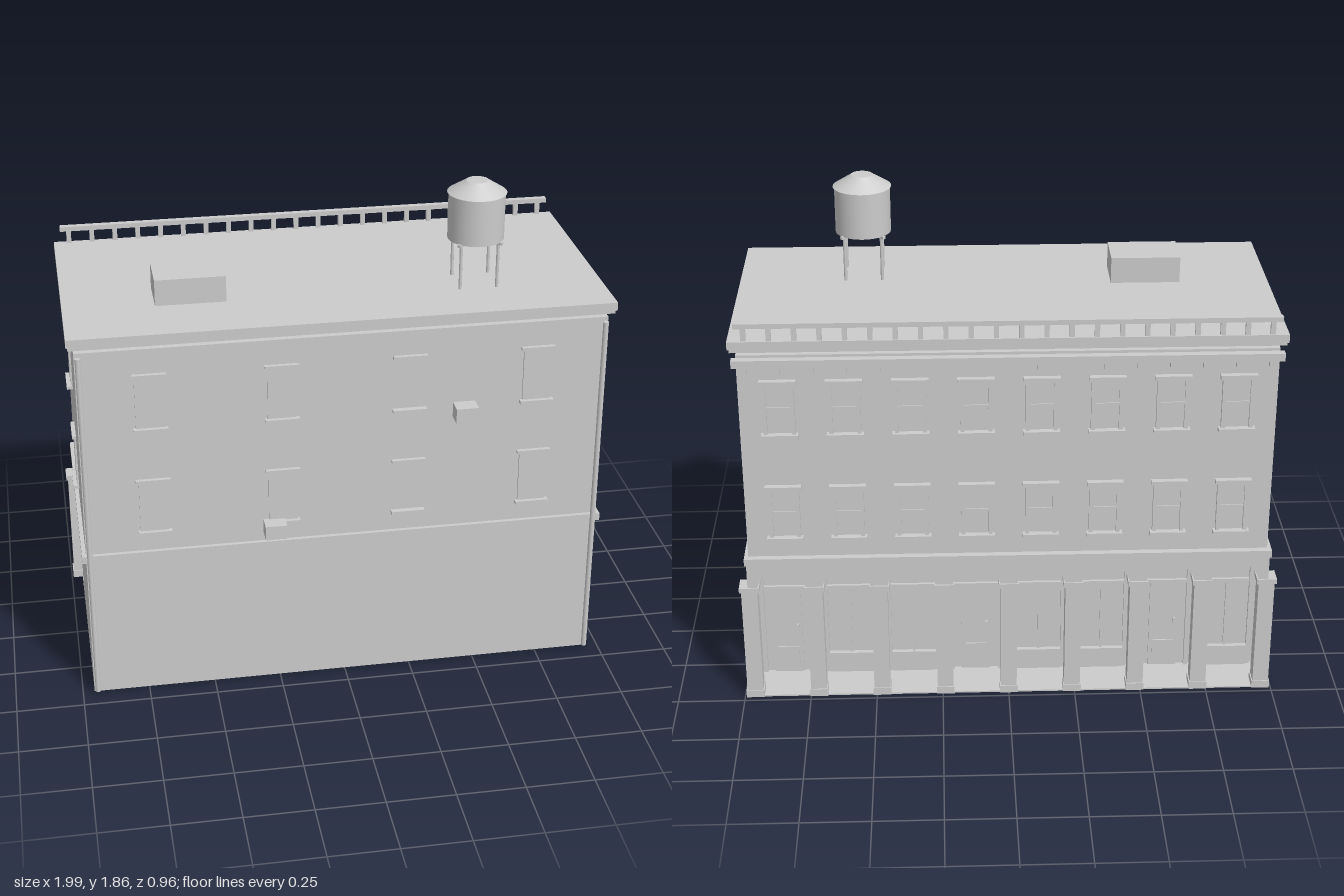
import * as THREE from 'three';

const stone = new THREE.MeshStandardMaterial({ color: 0xcccccc });
stone.name = 'grey stone';

function add(parent, name, geo) {
  const m = new THREE.Mesh(geo, stone);
  m.name = name;
  parent.add(m);
  return m;
}

// Box given by its minimum and maximum on each axis
function box(parent, name, x0, x1, y0, y1, z0, z1) {
  const m = add(parent, name, new THREE.BoxGeometry(x1 - x0, y1 - y0, z1 - z0));
  m.position.set((x0 + x1) / 2, (y0 + y1) / 2, (z0 + z1) / 2);
  return m;
}

function group(parent, name) {
  const g = new THREE.Group();
  g.name = name;
  parent.add(g);
  return g;
}

// Plain window: lintel, sill and a thin plate; local +z points out of the wall
function plainWindow(parent, x, y, z, turn, plate = true) {
  const g = group(parent, 'plainWindow');
  box(g, 'lintel', -0.062, 0.062, 0.205, 0.217, -0.005, 0.015);
  box(g, 'sill', -0.062, 0.062, -0.005, 0.007, -0.005, 0.022);
  if (plate) box(g, 'shutter', -0.052, 0.052, 0.007, 0.205, -0.002, 0.007);
  g.position.set(x, y, z);
  g.rotation.y = turn;
}

// Street window: frame bars, two sashes, lintel and sill
function sashWindow(parent, x, y, z) {
  const g = group(parent, 'sashWindow');
  box(g, 'lintel', -0.066, 0.066, 0.2, 0.217, -0.005, 0.022);
  box(g, 'sill', -0.066, 0.066, -0.006, 0.009, -0.005, 0.027);
  for (const s of [-1, 1]) {
    const jamb = box(g, 'jamb', -0.007, 0.007, 0.009, 0.2, -0.005, 0.015);
    jamb.position.x = s * 0.05;
  }
  box(g, 'upperSash', -0.043, 0.043, 0.108, 0.2, -0.002, 0.007);
  box(g, 'lowerSash', -0.043, 0.043, 0.009, 0.108, -0.002, 0.003);
  box(g, 'meetingRail', -0.043, 0.043, 0.102, 0.112, 0, 0.011);
  g.position.set(x, y, z);
  g.rotation.y = Math.PI;
}

function shopBay(parent, x, isDoor) {
  const g = group(parent, isDoor ? 'shopDoor' : 'shopWindow');
  g.position.set(x, 0, -0.305);
  g.rotation.y = Math.PI;
  for (const s of [-1, 1]) {
    const post = box(g, 'post', -0.008, 0.008, 0.005, 0.46, -0.002, 0.013);
    post.position.x = s * 0.092;
  }
  box(g, 'head', -0.105, 0.105, 0.458, 0.477, -0.002, 0.022);
  box(g, 'transom', -0.084, 0.084, 0.375, 0.387, -0.002, 0.011);
  if (isDoor) {
    box(g, 'leaf', -0.055, 0.055, 0.005, 0.375, -0.002, 0.008);
    box(g, 'lowerPanel', -0.04, 0.04, 0.03, 0.12, 0, 0.013);
    box(g, 'handle', 0.036, 0.044, 0.18, 0.22, 0, 0.018);
  } else {
    box(g, 'kickPanel', -0.084, 0.084, 0.005, 0.09, -0.002, 0.018);
    box(g, 'mullion', -0.005, 0.005, 0.09, 0.375, -0.002, 0.009);
  }
}

export function createModel() {
  const model = new THREE.Group();
  model.name = 'building';

  // Main masses
  box(model, 'groundFloor', -0.957, 0.957, 0, 0.572, -0.305, 0.418);
  box(model, 'porchFloor', -0.957, 0.957, 0, 0.006, -0.475, -0.305);
  box(model, 'stringCourse', -0.972, 0.972, 0.57, 0.598, -0.475, 0.433);
  box(model, 'upperFloors', -0.957, 0.957, 0.598, 1.405, -0.45, 0.418);
  box(model, 'roofSlab', -0.976, 0.976, 1.424, 1.46, -0.472, 0.436);
  box(model, 'roofEdge', -0.982, 0.982, 1.436, 1.467, -0.477, 0.44);

  // Plain windows on the yard wall and the end walls
  for (const y of [0.675, 1.093]) {
    for (const x of [-0.702, -0.232, 0.232, 0.702]) plainWindow(model, x, y, 0.418, 0, x !== 0.232);
    for (const s of [-1, 1]) plainWindow(model, s * 0.957, y, -0.017, s * Math.PI / 2);
  }

  // Street windows
  for (const y of [0.675, 1.093]) {
    for (let i = 0; i < 8; i++) sashWindow(model, (i - 3.5) * 0.233, y, -0.45);
  }

  // Cornice with brackets
  const cornice = group(model, 'cornice');
  box(cornice, 'ledge', -0.972, 0.972, 1.366, 1.395, -0.478, -0.448);
  for (let i = 0; i < 17; i++) {
    const x = (i - 8) * 0.117;
    box(cornice, 'bracket', x - 0.016, x + 0.016, 1.34, 1.366, -0.468, -0.448);
  }

  // Arcade: wall pierced by eight arches
  const wall = new THREE.Shape();
  wall.moveTo(-0.965, 0.572);
  wall.lineTo(-0.965, 0.46);
  for (let i = 0; i < 8; i++) {
    const c = (i - 3.5) * 0.24;
    wall.lineTo(c - 0.09, 0.46);
    wall.absarc(c, 0.46, 0.09, Math.PI, 0, true);
  }
  wall.lineTo(0.965, 0.46);
  wall.lineTo(0.965, 0.572);
  const arches = add(model, 'archWall',
    new THREE.ExtrudeGeometry(wall, { depth: 0.034, bevelEnabled: false, curveSegments: 12 }));
  arches.position.z = -0.474;

  // Arcade columns
  for (let i = 0; i < 9; i++) {
    const x = (i - 4) * 0.24;
    const col = group(model, 'column');
    col.position.set(x, 0, -0.446);
    box(col, 'base', -0.034, 0.034, 0, 0.03, -0.033, 0.033);
    box(col, 'shaft', -0.03, 0.03, 0.03, 0.458, -0.029, 0.029);
    box(col, 'capital', -0.037, 0.037, 0.458, 0.478, -0.034, 0.034);
  }

  // Shop fronts behind the arcade
  for (let i = 0; i < 8; i++) shopBay(model, (i - 3.5) * 0.24, i % 3 === 1);

  // Roof railing along the street side
  const railing = group(model, 'railing');
  box(railing, 'topRail', -0.957, 0.957, 1.516, 1.534, -0.477, -0.453);
  for (let i = 0; i < 22; i++) {
    const x = (i - 10.5) * 0.088;
    box(railing, 'baluster', x - 0.009, x + 0.009, 1.465, 1.517, -0.472, -0.458);
  }

  // Roof housing and wall units
  box(model, 'roofHousing', -0.652, -0.396, 1.465, 1.565, 0.028, 0.197);
  box(model, 'wallUnitLow', -0.305, -0.225, 0.632, 0.687, 0.415, 0.48);
  box(model, 'wallUnitHigh', 0.394, 0.476, 1.05, 1.108, 0.415, 0.48);

  // Drain pipes
  for (const s of [-1, 1]) {
    const pipe = add(model, 'drainPipe', new THREE.CylinderGeometry(0.01, 0.01, 1.38, 10));
    pipe.position.set(s * 0.944, 0.703, 0.435);
  }

  // Water tower
  const tower = group(model, 'waterTower');
  tower.position.set(0.521, 0, 0.157);
  add(tower, 'tank', new THREE.CylinderGeometry(0.103, 0.103, 0.175, 32)).position.y = 1.727;
  add(tower, 'tankRoof', new THREE.CylinderGeometry(0.05, 0.108, 0.037, 32)).position.y = 1.832;
  add(tower, 'hatch', new THREE.CylinderGeometry(0.04, 0.05, 0.007, 24)).position.y = 1.854;
  for (const sx of [-1, 1]) {
    const beam = box(tower, 'beam', -0.113, 0.113, 1.632, 1.642, -0.006, 0.006);
    beam.rotation.y = sx * Math.PI / 4;
    for (const sz of [-1, 1]) {
      const leg = add(tower, 'leg', new THREE.CylinderGeometry(0.006, 0.006, 0.175, 8));
      leg.position.set(sx * 0.068, 1.552, sz * 0.068);
    }
  }
  return model;
}
